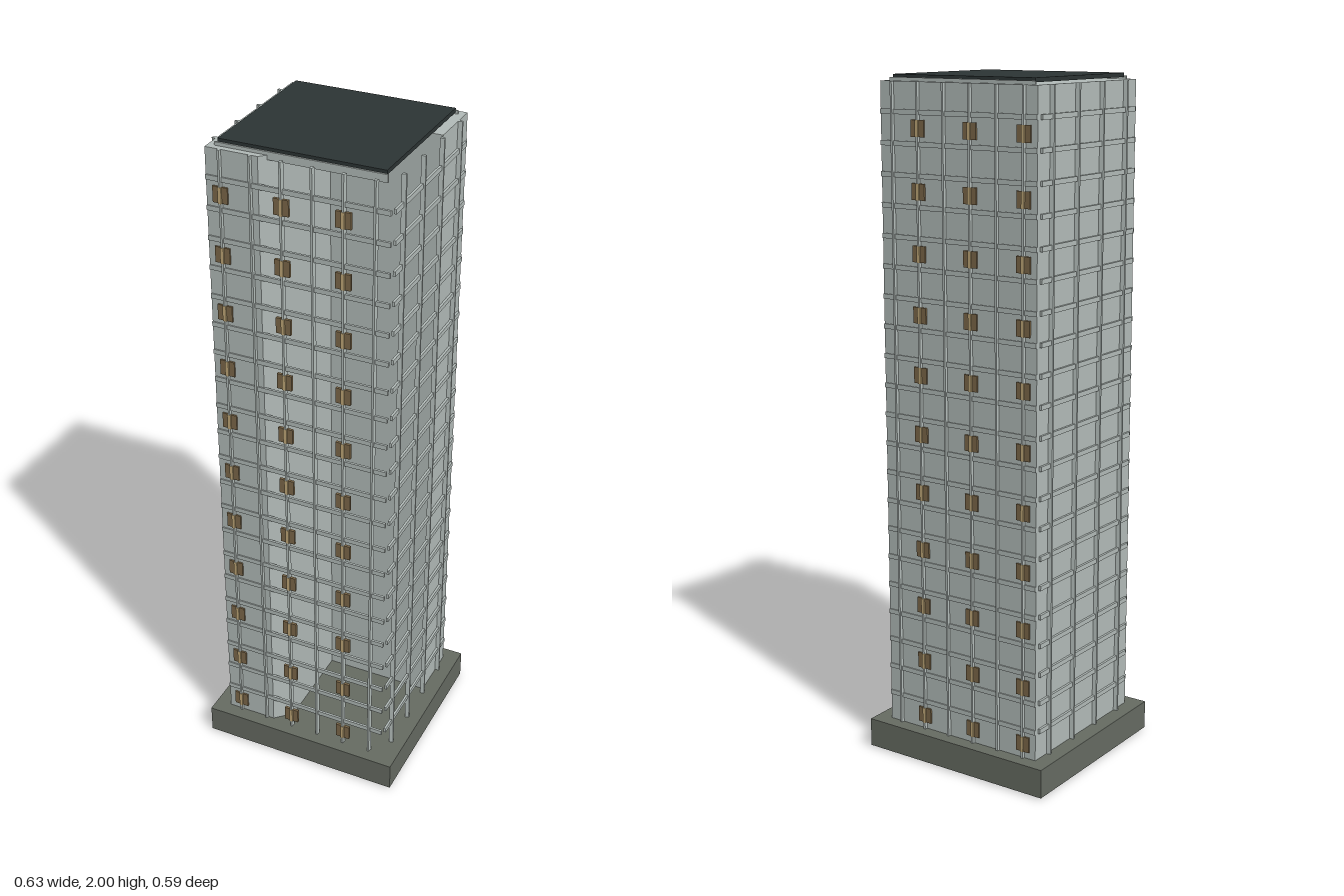
import * as THREE from 'three';

const mat = (name, color, side = THREE.FrontSide) => {
  const m = new THREE.MeshStandardMaterial({ color, side });
  m.name = name;
  return m;
};

export function createModel() {
  const wall = mat('paleConcrete', 0xb2bbb8);
  const plinth = mat('stoneGrey', 0x666b62);
  const dark = mat('roofDark', 0x2c3434);
  const brown = mat('panelBrown', 0x7c6849);
  const tan = mat('panelTan', 0xc0a878);

  const model = new THREE.Group();
  model.name = 'tower';
  const HX = 0.261, HZ = 0.249;        // half width and half depth of the tower
  const BASE = 0.09, FLOOR = 0.0862, FLOORS = 22, TOP = BASE + FLOOR * FLOORS - 0.004;

  const add = (parent, name, geo, material, x = 0, y = 0, z = 0) => {
    const m = new THREE.Mesh(geo, material);
    m.name = name;
    m.position.set(x, y, z);
    parent.add(m);
    return m;
  };
  const box = (w, h, d) => new THREE.BoxGeometry(w, h, d);
  // upright prism from a plan outline of [x, z] points
  const prism = (plan, height) => {
    const shape = new THREE.Shape(plan.map(([x, z]) => new THREE.Vector2(x, -z)));
    return new THREE.ExtrudeGeometry(shape, { depth: height, bevelEnabled: false }).rotateX(-Math.PI / 2);
  };

  // base, with a dark recessed-looking plate on its underside
  add(model, 'base', box(0.618, BASE - 0.004, 0.583), plinth, 0, BASE / 2 + 0.002, 0);
  add(model, 'undersidePlate', box(0.54, 0.004, 0.51), dark, 0, 0.004, 0);

  // L-shaped tower body, cut away at the front corner
  add(model, 'towerBody', prism([
    [-HX, -HZ], [HX, -HZ], [HX, -0.078], [-0.062, -0.078],
    [-0.062, 0.203], [-0.109, HZ], [-HX, HZ],
  ], TOP), wall);

  // roof slab and its two edge strips
  add(model, 'roof', box(0.473, 0.012, 0.448), dark, 0, 1.994, 0);
  for (const s of [-1, 1])
    add(model, 'roofEdge', box(0.484, 0.022, 0.005), wall, 0, 1.981, s * 0.229);

  // one side of the outer frame, built facing +z and then turned
  const mullionGeo = prism([[-0.0055, -0.004], [0.0055, -0.004], [0.003, 0.008], [-0.003, 0.008]], TOP - BASE);
  const facade = (name, angle, dist, length, columns, panelXs) => {
    const g = new THREE.Group();
    g.name = name;
    g.rotation.y = angle;
    const barGeo = box(length, 0.014, 0.007);
    for (let i = 1; i < FLOORS; i++)
      add(g, 'floorBar', barGeo, wall, 0, BASE + i * FLOOR, dist);
    for (const x of columns) add(g, 'mullion', mullionGeo, wall, x, BASE, dist);
    // coloured panels on every second floor
    const panelGeo = box(0.044, 0.046, 0.008), stripGeo = box(0.01, 0.046, 0.012);
    for (const x of panelXs)
      for (let f = 0; f < FLOORS; f += 2) {
        const y = BASE + (f + 0.5) * FLOOR;
        add(g, 'panel', panelGeo, brown, x, y, dist + 0.001);
        add(g, 'panelStrip', stripGeo, tan, x, y, dist + 0.003);
      }
    model.add(g);
  };
  const wide = [0, 1, 2, 3, 4, 5].map(i => -0.219 + i * 0.0876);
  const narrow = [-0.186, -0.062, 0.062, 0.186];
  const panels = [wide[0], wide[2], wide[4]];
  facade('frontFrame', 0, HZ, 2 * HX, wide, panels);
  facade('backFrame', Math.PI, HZ, 2 * HX, wide, panels.map(x => -x));
  facade('leftFrame', Math.PI / 2, HX + 0.004, 0.472, narrow, []);
  facade('rightFrame', -Math.PI / 2, HX + 0.004, 0.472, narrow, []);

  // the whole tower stands slightly turned
  model.rotation.y = 0.0166;
  const root = new THREE.Group();
  root.name = 'building';
  root.add(model);
  return root;
}
